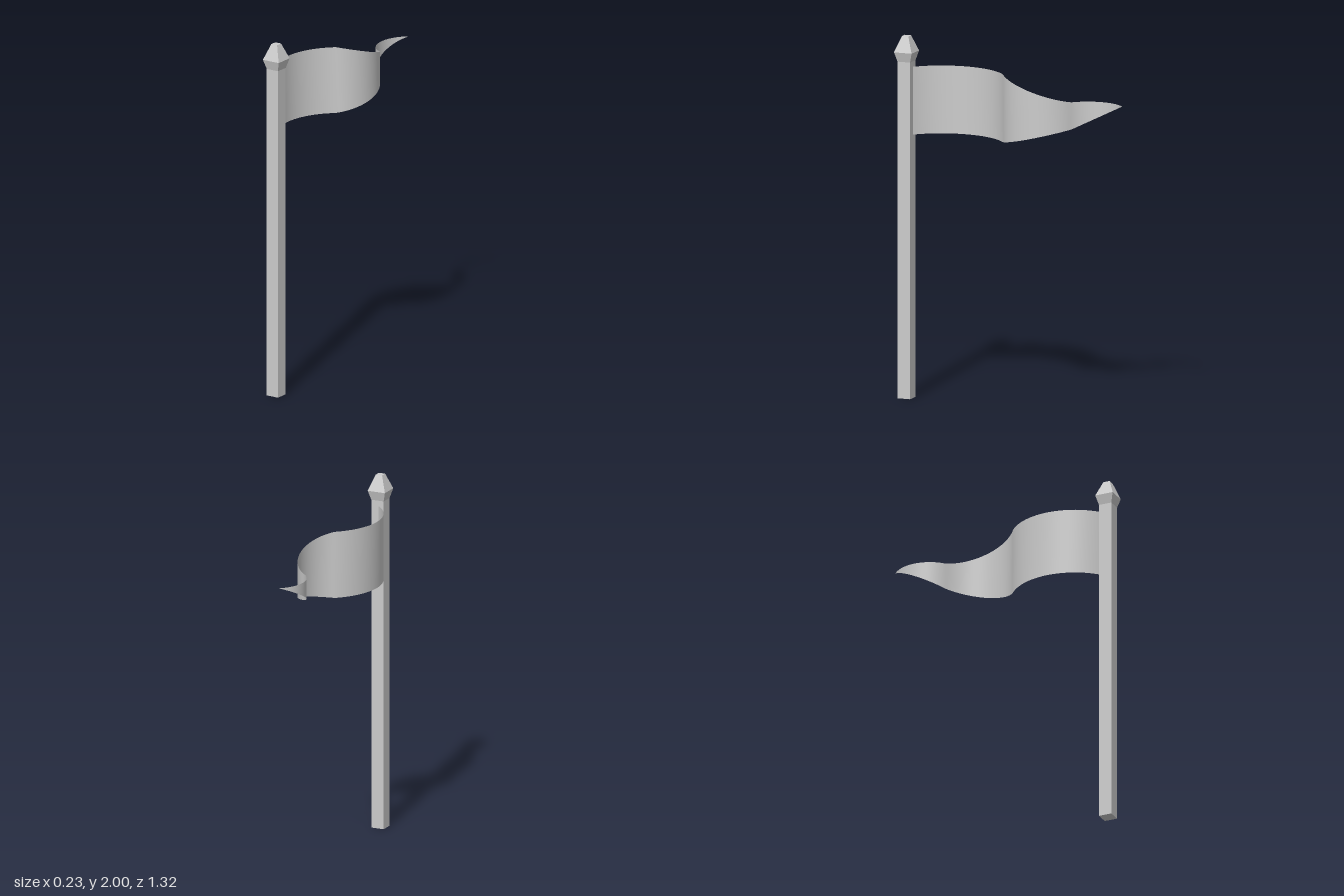
import * as THREE from 'three';

const POLE_X = 0.011, POLE_Z = 0.61;

// Square-section solid turned from [halfWidth, y] pairs, bottom to top
function squareTurned(name, profile) {
  const points = profile.map(([h, y]) => new THREE.Vector2(h * Math.SQRT2, y));
  const mesh = new THREE.Mesh(
    new THREE.LatheGeometry(points, 4, Math.PI / 4),
    new THREE.MeshStandardMaterial({ color: 0xcccccc, flatShading: true })
  );
  mesh.name = name;
  mesh.position.set(POLE_X, 0, POLE_Z);
  return mesh;
}

// Circular arc between two [x, z] points, bulging by sag along x
function arcPoints([x0, z0], [x1, z1], sag, n) {
  const half = Math.abs(z1 - z0) / 2, depth = Math.abs(sag);
  const radius = (half * half + depth * depth) / (2 * depth);
  const angle = Math.asin(half / radius);
  return Array.from({ length: n + 1 }, (_, i) => {
    const t = (1 - Math.sin(angle * (1 - 2 * i / n)) / Math.sin(angle)) / 2;
    const bulge = radius * Math.cos(angle * (1 - 2 * i / n)) - (radius - depth);
    return [x0 + (x1 - x0) * t + Math.sign(sag) * bulge, z0 + (z1 - z0) * t];
  });
}

// Waving pennant: three alternating arcs with a tapering outline
function buildPennant() {
  const joints = [[0.011, 0.578], [0.01, 0.042], [0.003, -0.36], [0.006, -0.66]];
  const sags = [-0.126, 0.104, -0.072];
  const tops = [1.83, 1.83, 1.705, 1.705];
  const bottoms = [1.455, 1.455, 1.555, 1.705];
  const position = [], index = [], n = 24;
  sags.forEach((sag, k) => {
    const [z0, z1] = [joints[k][1], joints[k + 1][1]];
    arcPoints(joints[k], joints[k + 1], sag, n).forEach(([x, z], i) => {
      if (k > 0 && i === 0) return; // shared with the previous arc
      const t = (z - z0) / (z1 - z0);
      position.push(x, THREE.MathUtils.lerp(bottoms[k], bottoms[k + 1], t), z);
      position.push(x, THREE.MathUtils.lerp(tops[k], tops[k + 1], t), z);
    });
  });
  for (let a = 0; a < 2 * n * sags.length; a += 2) {
    index.push(a, a + 2, a + 1, a + 1, a + 2, a + 3);
  }
  const geometry = new THREE.BufferGeometry();
  geometry.setAttribute('position', new THREE.Float32BufferAttribute(position, 3));
  geometry.setIndex(index);
  geometry.computeVertexNormals();
  const mesh = new THREE.Mesh(
    geometry,
    new THREE.MeshStandardMaterial({ color: 0xcccccc, side: THREE.DoubleSide })
  );
  mesh.name = 'pennant';
  return mesh;
}

export function createModel() {
  const group = new THREE.Group();
  group.name = 'flagpole';
  group.add(
    squareTurned('pole', [[0, 0], [0.037, 0], [0.037, 1.86]]),
    squareTurned('finial', [[0.037, 1.86], [0.052, 1.913], [0.019, 2], [0, 2]]),
    buildPennant()
  );
  return group;
}
